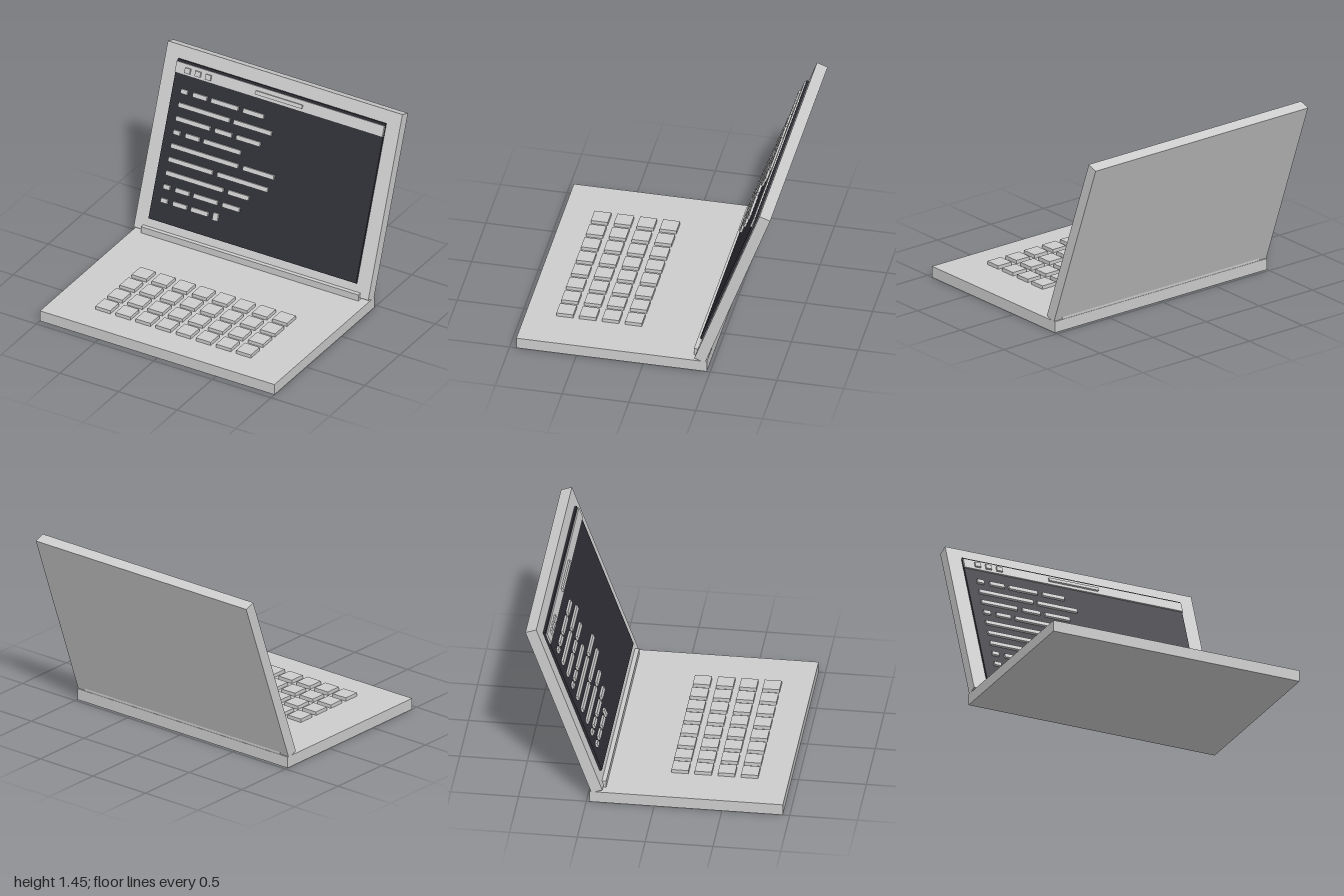
import * as THREE from 'three';

export function createModel() {
  const root = new THREE.Group();
  root.name = 'laptop';

  const mat = (name, color) => {
    const m = new THREE.MeshStandardMaterial({ color });
    m.name = name;
    return m;
  };
  const shell = mat('light grey', 0xcccccc);
  const dark = mat('screen charcoal', 0x2e2e36);

  // Box given by its minimum and maximum on each axis
  const box = (parent, name, material, [x0, x1], [y0, y1], [z0, z1]) => {
    const mesh = new THREE.Mesh(new THREE.BoxGeometry(x1 - x0, y1 - y0, z1 - z0), material);
    mesh.position.set((x0 + x1) / 2, (y0 + y1) / 2, (z0 + z1) / 2);
    mesh.name = name;
    parent.add(mesh);
    return mesh;
  };

  // Base and hinge bar
  box(root, 'base', shell, [-1, 1], [0, 0.087], [-0.475, 0.95]);
  box(root, 'hinge', shell, [-0.927, 0.927], [0.08, 0.14], [-0.472, -0.363]);

  // Keyboard: four rows of eight keys
  const keyboard = new THREE.Group();
  keyboard.name = 'keyboard';
  root.add(keyboard);
  for (let row = 0; row < 4; row++) {
    for (let col = 0; col < 8; col++) {
      const x = (col - 3.5) * 0.1713;
      const z = 0.146 + row * 0.1713;
      box(keyboard, 'key', shell, [x - 0.063, x + 0.063], [0.08, 0.114], [z - 0.063, z + 0.063]);
    }
  }

  // Lid: y runs up the panel, z = 0 is its front face, leaning back 20 degrees
  const lid = new THREE.Group();
  lid.name = 'lid';
  lid.position.set(0, 0.106, -0.382);
  lid.rotation.x = -THREE.MathUtils.degToRad(20);
  root.add(lid);
  box(lid, 'lidPanel', shell, [-1, 1], [0, 1.425], [-0.085, 0]);
  box(lid, 'screen', dark, [-0.885, 0.885], [0.1, 1.325], [-0.01, 0.018]);

  // Window title bar with three buttons and an address field
  box(lid, 'titleBar', shell, [-0.885, 0.885], [1.222, 1.308], [0.01, 0.029]);
  for (const x of [-0.778, -0.69, -0.602]) {
    box(lid, 'windowButton', shell, [x - 0.023, x + 0.023], [1.242, 1.282], [0.02, 0.043]);
  }
  box(lid, 'addressField', shell, [-0.2, 0.2], [1.248, 1.276], [0.02, 0.043]);

  // Code lines: start and end of each dash, from the top row down
  const a = [-0.805, -0.75], b = [-0.703, -0.585];
  const rows = [
    [a, b, [-0.548, -0.318], [-0.275, -0.1]],
    [[-0.805, -0.37], [-0.334, -0.013]],
    [[-0.805, -0.516], [-0.473, -0.33], [-0.29, -0.088]],
    [a, b, [-0.548, -0.233]],
    [[-0.805, -0.233], [-0.19, 0.072]],
    [[-0.805, -0.43], [-0.388, 0.04]],
    [[-0.805, -0.318], [-0.275, -0.1]],
    [a, b, [-0.548, -0.345], [-0.302, -0.158]],
    [a, b, [-0.548, -0.404]],
  ];
  const rowY = (i) => 1.1 - i * 0.1043;
  rows.forEach((dashes, i) => {
    for (const span of dashes) {
      box(lid, 'codeDash', shell, span, [rowY(i) - 0.017, rowY(i) + 0.017], [0.01, 0.035]);
    }
  });
  box(lid, 'cursor', shell, [-0.361, -0.318], [rowY(8) - 0.029, rowY(8) + 0.029], [0.01, 0.035]);

  return root;
}
